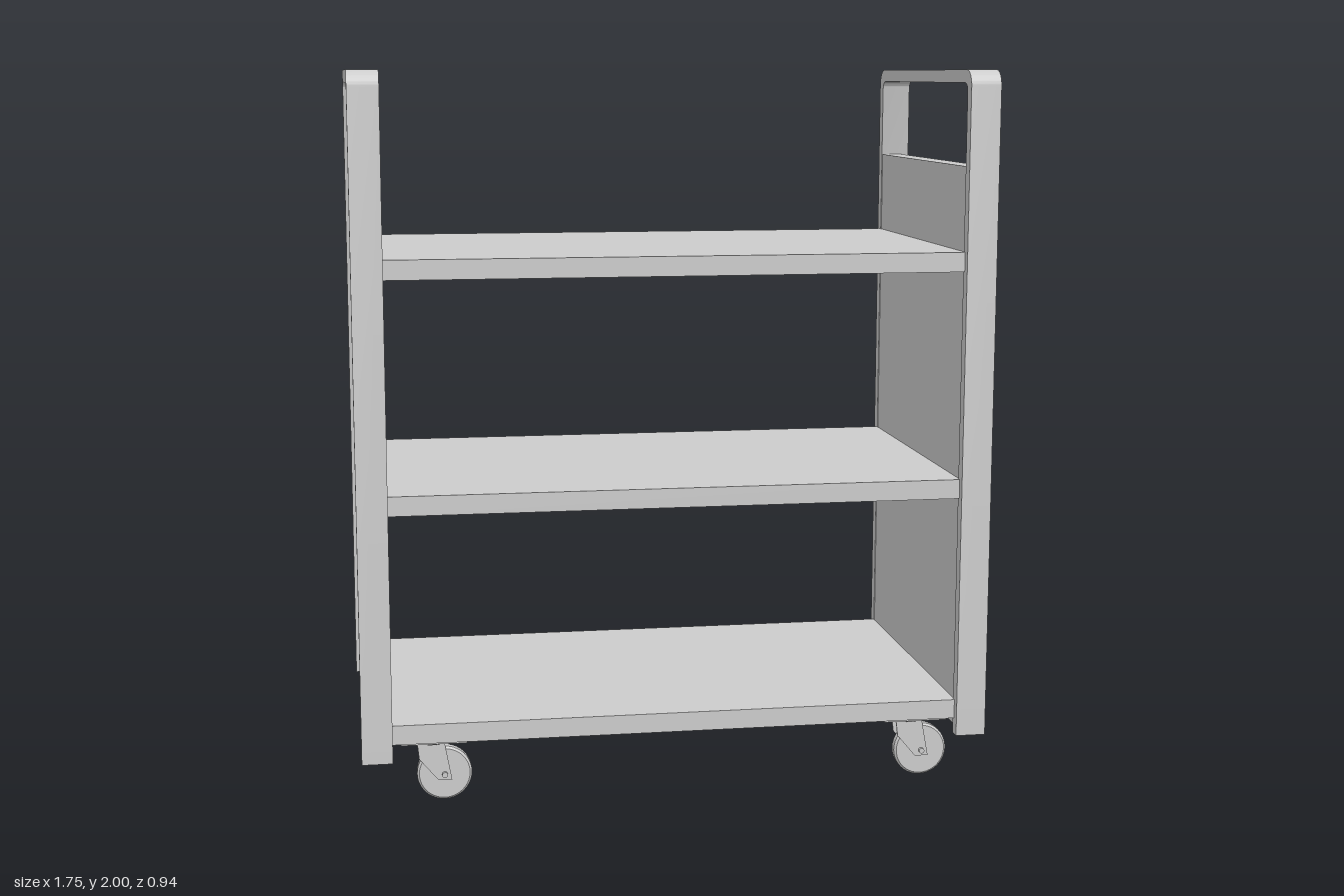
import * as THREE from 'three';
import { toCreasedNormals } from 'three/addons/utils/BufferGeometryUtils.js';

const material = new THREE.MeshStandardMaterial({ color: 0xcccccc });

function add(parent, name, geometry, x = 0, y = 0, z = 0) {
  const mesh = new THREE.Mesh(geometry, material);
  mesh.name = name;
  mesh.position.set(x, y, z);
  parent.add(mesh);
  return mesh;
}

// Inverted U of square tubing, drawn across the depth and extruded along x
function frameGeometry(width) {
  const outer = 0.472, inner = 0.437, bottom = 0.14, top = 2, bar = 0.035;
  const ro = 0.045, ri = 0.025, innerTop = top - bar;
  const s = new THREE.Shape();
  s.moveTo(-outer, bottom);
  s.lineTo(-inner, bottom);
  s.lineTo(-inner, innerTop - ri);
  s.absarc(-inner + ri, innerTop - ri, ri, Math.PI, Math.PI / 2, true);
  s.absarc(inner - ri, innerTop - ri, ri, Math.PI / 2, 0, true);
  s.lineTo(inner, bottom);
  s.lineTo(outer, bottom);
  s.absarc(outer - ro, top - ro, ro, 0, Math.PI / 2, false);
  s.absarc(-outer + ro, top - ro, ro, Math.PI / 2, Math.PI, false);
  s.closePath();
  const g = new THREE.ExtrudeGeometry(s, { depth: width, bevelEnabled: false, curveSegments: 8 });
  g.translate(0, 0, -width / 2);
  g.rotateY(Math.PI / 2);
  return toCreasedNormals(g, 0.6);
}

// Swivel caster; its origin is the floor point below the mounting plate
function createCaster() {
  const caster = new THREE.Group();
  caster.name = 'caster';
  const trail = 0.03, axleY = 0.076;
  add(caster, 'mountingPlate', new THREE.BoxGeometry(0.18, 0.01, 0.13), 0, 0.181, 0);
  add(caster, 'swivelBearing', new THREE.CylinderGeometry(0.045, 0.038, 0.012, 24), -0.005, 0.171, 0);
  add(caster, 'forkCrown', new THREE.BoxGeometry(0.075, 0.008, 0.052), -0.008, 0.165, 0);

  // Raked fork cheeks on both sides of the wheel
  const cheek = new THREE.Shape([
    [-0.045, 0.169], [0.03, 0.169], [0.05, 0.06], [0.012, 0.06], [-0.04, 0.122],
  ].map(([x, y]) => new THREE.Vector2(x, y)));
  const cheekGeometry = new THREE.ExtrudeGeometry(cheek, { depth: 0.005, bevelEnabled: false });
  for (const z of [-0.026, 0.021]) add(caster, 'forkCheek', cheekGeometry, 0, 0, z);

  // Wheel with slightly rounded tread
  const profile = [[0, -0.016], [0.07, -0.016], [0.076, -0.01], [0.076, 0.01], [0.07, 0.016], [0, 0.016]]
    .map(([r, y]) => new THREE.Vector2(r, y));
  const wheel = toCreasedNormals(new THREE.LatheGeometry(profile, 40).rotateX(Math.PI / 2), 0.6);
  add(caster, 'wheel', wheel, trail, axleY, 0);
  add(caster, 'axle', new THREE.CylinderGeometry(0.008, 0.008, 0.07, 12).rotateX(Math.PI / 2), trail, axleY, 0);
  return caster;
}

export function createModel() {
  const cart = new THREE.Group();
  cart.name = 'shelfCart';

  // End frames with recessed panels
  const frame = frameGeometry(0.084);
  for (const side of [-1, 1]) {
    const end = new THREE.Group();
    end.name = side > 0 ? 'leftEnd' : 'rightEnd';
    add(end, 'handleFrame', frame, side * 0.833, 0, 0);
    add(end, 'endPanel', new THREE.BoxGeometry(0.06, 1.575, 0.874), side * 0.823, 0.9525, 0);
    cart.add(end);
  }

  // Three shelves
  for (const y of [0.212, 0.847, 1.48]) {
    add(cart, 'shelf', new THREE.BoxGeometry(1.59, 0.054, 0.898), 0, y, 0);
  }

  // Four casters, all trailing the same way
  for (const x of [-0.677, 0.683]) {
    for (const z of [-0.362, 0.366]) {
      const caster = createCaster();
      caster.position.set(x, 0, z);
      cart.add(caster);
    }
  }
  return cart;
}
